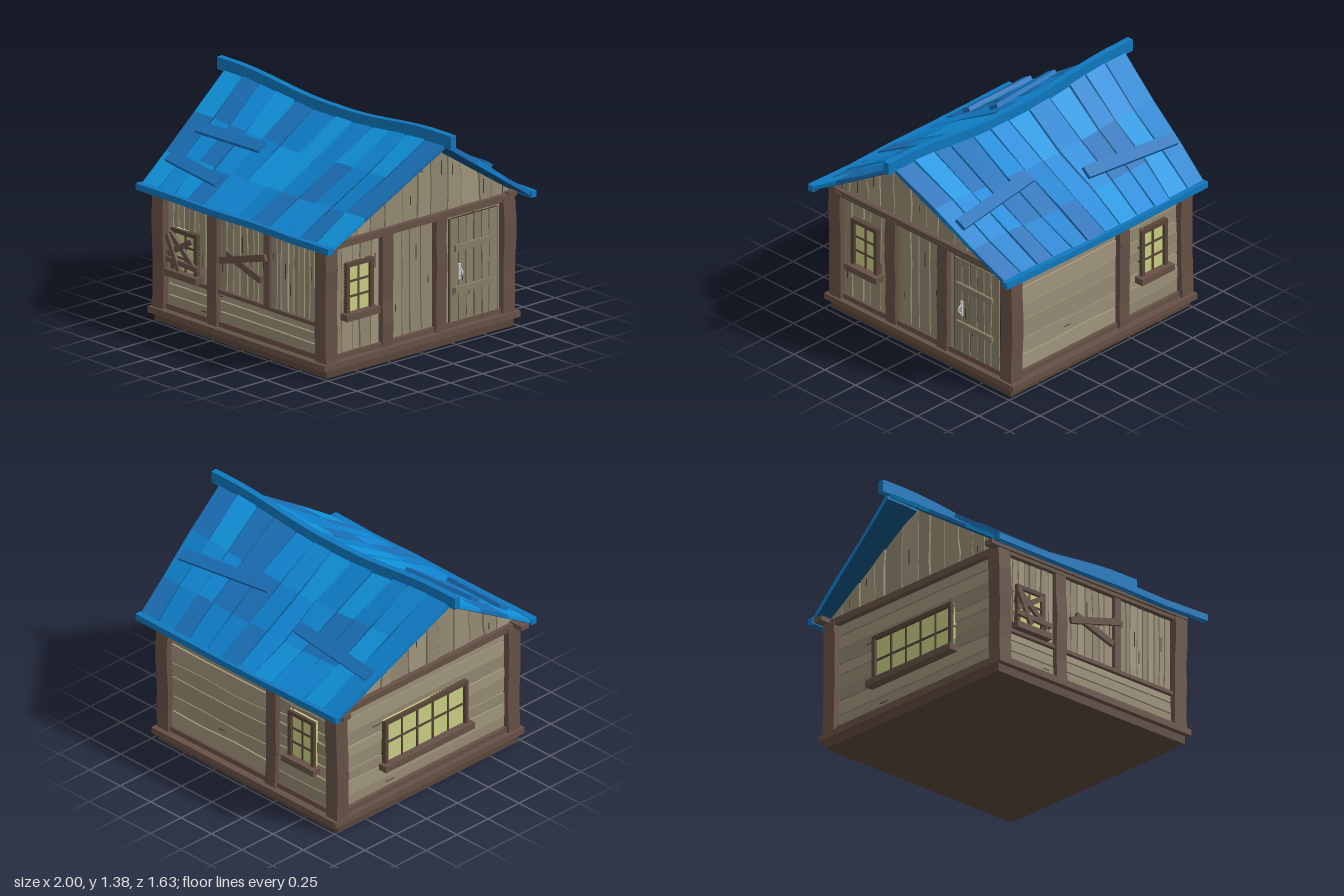
import * as THREE from 'three';

let seed = 7;
const rnd = () => { seed = (seed * 16807) % 2147483647; return seed / 2147483647; };
const jit = (a) => (rnd() * 2 - 1) * a;
const mat = (color) => new THREE.MeshStandardMaterial({ color, flatShading: true });
const BROWN = mat(0x665146), BROWN2 = mat(0x584539), DARK = mat(0x463c30), GLASS = mat(0xc8ce82), METAL = mat(0xcccccc);
const WOOD = [0x9a9078, 0x958b73, 0xa0967d, 0x918770].map(mat);
const DOOR = [0x877c66, 0x8c816b].map(mat);
const BLUE = [0x1088d6, 0x1088d6, 0x1094de, 0x0f80cc, 0x1a70b8].map(mat);
const TRIM = mat(0x0f78bf), PATCH = mat(0x1a70b8), SEAM = mat(0x0b5080);
const pick = (list) => list[Math.floor(rnd() * list.length)];
const CX = -0.02; // the walls sit slightly off the roof's centre

function add(parent, name, geo, material) {
  const m = new THREE.Mesh(geo, material);
  m.name = name;
  parent.add(m);
  return m;
}

// Box given by its limits, its cross-section wandering a little along the longest side
function beam(parent, name, [x0, x1], [y0, y1], [z0, z1], material, wobble = 0) {
  const size = [x1 - x0, y1 - y0, z1 - z0];
  const axis = size.indexOf(Math.max(...size));
  const segs = [1, 1, 1];
  if (wobble) segs[axis] = 5;
  const geo = new THREE.BoxGeometry(...size, ...segs);
  if (wobble) {
    const offs = Array.from({ length: 6 }, () => [jit(wobble), jit(wobble), jit(wobble)]);
    const p = geo.attributes.position;
    for (let i = 0; i < p.count; i++) {
      const o = offs[Math.round((p.getComponent(i, axis) / size[axis] + 0.5) * 5)];
      for (let k = 0; k < 3; k++) if (k !== axis) p.setComponent(i, k, p.getComponent(i, k) + o[k]);
    }
    geo.computeVertexNormals();
  }
  const m = add(parent, name, geo, material);
  m.position.set((x0 + x1) / 2, (y0 + y1) / 2, (z0 + z1) / 2);
  return m;
}

// Flat board between two points on a wall
function nailed(parent, name, a, b, width, z, material) {
  const m = add(parent, name, new THREE.BoxGeometry(Math.hypot(b[0] - a[0], b[1] - a[1]), width, 0.02), material);
  m.position.set((a[0] + b[0]) / 2, (a[1] + b[1]) / 2, z);
  m.rotation.z = Math.atan2(b[1] - a[1], b[0] - a[0]);
}

// Panel of planks with crooked shared seams; top(u) trims vertical planks
function planks(parent, name, [u0, u1], [v0, v1], n, { horizontal = false, z = 0.685, top = null, mats = WOOD } = {}) {
  const [a0, a1, l0, l1] = horizontal ? [v0, v1, u0, u1] : [u0, u1, v0, v1];
  const step = (a1 - a0) / n, gap = 0.004;
  const seams = Array.from({ length: n + 1 }, (_, i) => {
    const inner = i > 0 && i < n, shift = inner ? jit(step * 0.15) : 0;
    return [0, 0.3, 0.65, 1].map((f) => [a0 + step * i + shift + (inner ? jit(step * 0.08) : 0), f]);
  });
  for (let i = 0; i < n; i++) {
    const side = (s, g) => s.map(([a, f]) => {
      const c = a + g, l = l0 + ((top ? top(c) : l1) - l0) * f;
      return horizontal ? new THREE.Vector2(l, c) : new THREE.Vector2(c, l);
    });
    const shape = new THREE.Shape([...side(seams[i], gap), ...side(seams[i + 1], -gap).reverse()]);
    const depth = 0.015 + rnd() * 0.008;
    add(parent, name, new THREE.ExtrudeGeometry(shape, { depth, bevelEnabled: false }), pick(mats)).position.z = z;
    // short split in some of the planks
    if (rnd() < 0.45) {
      const a = a0 + step * (i + 0.5) + jit(step * 0.2);
      const l = l0 + ((top ? top(a) : l1) - l0) * (0.2 + rnd() * 0.6), len = 0.02 + rnd() * 0.03;
      const [u, v, w, h] = horizontal ? [l, a, len, 0.003] : [a, l, 0.003, len];
      beam(parent, 'split', [u - w, u + w], [v - h, v + h], [z, z + depth + 0.001], DARK);
    }
  }
}

function windowUnit(parent, [u0, u1], [v0, v1], cols, rows) {
  const g = new THREE.Group();
  g.name = 'window';
  parent.add(g);
  const f = 0.025, z = [0.69, 0.735];
  beam(g, 'glass', [u0, u1], [v0, v1], [0.69, 0.715], GLASS);
  for (const u of [u0, u1 - f]) beam(g, 'frameSide', [u, u + f], [v0, v1], z, BROWN2);
  beam(g, 'frameTop', [u0, u1], [v1 - f, v1], z, BROWN2);
  for (let i = 1; i < cols; i++) {
    const u = u0 + f + (u1 - u0 - 2 * f) * i / cols;
    beam(g, 'mullion', [u - 0.006, u + 0.006], [v0, v1], [0.7, 0.722], BROWN2);
  }
  for (let i = 1; i < rows; i++) {
    const v = v0 + (v1 - v0 - f) * i / rows;
    beam(g, 'glazingBar', [u0, u1], [v - 0.006, v + 0.006], [0.7, 0.722], BROWN2);
  }
  beam(g, 'windowSill', [u0 - 0.025, u1 + 0.025], [v0 - 0.04, v0], [0.69, 0.765], BROWN);
}

// Wall in its own frame: u across, y up, outside towards +z
function wall(parent, name, angle) {
  const g = new THREE.Group();
  g.name = name;
  g.position.x = CX;
  g.rotation.y = angle;
  parent.add(g);
  beam(g, 'bottomRail', [-0.68, 0.68], [0.085, 0.12], [0.68, 0.72], BROWN);
  beam(g, 'topRail', [-0.72, 0.72], [0.765, 0.805], [0.68, 0.735], BROWN);
  return g;
}
const post = (g, u, w = 0.08) => beam(g, 'post', [u - w / 2, u + w / 2], [0.09, 0.78], [0.67, 0.735], BROWN, 0.004);

function gable(g) {
  const top = (u) => 1.285 - 0.64 * Math.abs(u);
  const back = new THREE.Shape([new THREE.Vector2(-0.72, 0.79), new THREE.Vector2(0.72, 0.79), new THREE.Vector2(0, 1.275)]);
  add(g, 'gableBacking', new THREE.ExtrudeGeometry(back, { depth: 0.02, bevelEnabled: false }), DARK).position.z = 0.67;
  planks(g, 'gablePlank', [-0.72, 0.72], [0.8, 1.28], 12, { top });
}

// Roof surface: s runs along the ridge (-1..1), t from ridge to eave (0..1)
const ridgeTop = (x) => 1.325 + 0.055 * THREE.MathUtils.smoothstep(Math.abs(x), 0.1, 0.85);
const roofY = (x, t) => THREE.MathUtils.lerp(ridgeTop(x) - 0.06, 0.822, t);
const roofPoint = (s, t, lift) => {
  const x = s * (0.945 - 0.13 * t);
  return [x, roofY(x, t) + lift, 0.01 + 0.78 * t];
};

function roofPiece(parent, name, s, t, low, high, material, segs = 1) {
  const geo = new THREE.BoxGeometry(1, 1, 1, segs, 1, 1), p = geo.attributes.position;
  for (let i = 0; i < p.count; i++) {
    const k = p.getZ(i) > 0 ? 1 : 0;
    const sv = THREE.MathUtils.lerp(s[k][0], s[k][1], p.getX(i) + 0.5);
    p.setXYZ(i, ...roofPoint(sv, t[k], p.getY(i) > 0 ? high[k] : low));
  }
  geo.computeVertexNormals();
  add(parent, name, geo, material);
}

function roofSide(parent, name, angle, patches) {
  const g = new THREE.Group();
  g.name = name;
  g.rotation.y = angle;
  parent.add(g);
  roofPiece(g, 'roofDeck', [[-0.99, 0.99], [-0.99, 0.99]], [0, 1], -0.035, [-0.012, -0.012], SEAM, 16);
  const n = 12, rows = [0, 0.36, 0.7, 1];
  const seams = Array.from({ length: n + 1 }, (_, i) => {
    const inner = i > 0 && i < n, shift = inner ? jit(0.02) : 0;
    return rows.map(() => -1 + 2 * i / n + shift + (inner ? jit(0.015) : 0));
  });
  for (let i = 0; i < n; i++) {
    const lift = rows.map(() => jit(0.008));
    for (let k = 0; k < 3; k++) {
      const s = [k, k + 1].map((r) => [seams[i][r] + 0.006, seams[i + 1][r] - 0.006]);
      roofPiece(g, 'roofPlank', s, [rows[k], rows[k + 1]], -0.03, [lift[k], lift[k + 1]], pick(BLUE));
    }
  }
  beam(g, 'eaveBoard', [-0.825, 0.82], [0.788, 0.828], [0.77, 0.81], TRIM, 0.004);
  // loose boards nailed across the slope
  for (const [x0, z0, x1, z1] of patches) {
    const at = (x, z) => new THREE.Vector3(x, roofY(x, (z - 0.01) / 0.78) + 0.02, z);
    const a = at(x0, z0), b = at(x1, z1);
    const m = add(g, 'patchBoard', new THREE.BoxGeometry(a.distanceTo(b), 0.025, 0.075), PATCH);
    const ax = b.clone().sub(a).normalize();
    const az = new THREE.Vector3().crossVectors(ax, new THREE.Vector3(0, 0.84, 0.54)).normalize();
    m.quaternion.setFromRotationMatrix(new THREE.Matrix4().makeBasis(ax, az.clone().cross(ax), az));
    m.position.copy(a).add(b).multiplyScalar(0.5);
  }
}

export function createModel() {
  seed = 7;
  const house = new THREE.Group();
  house.name = 'cabin';

  // Base, core behind the planks, corner posts
  beam(house, 'base', [CX - 0.735, CX + 0.735], [0, 0.055], [-0.73, 0.73], BROWN2);
  beam(house, 'groundSill', [CX - 0.755, CX + 0.755], [0.05, 0.088], [-0.765, 0.765], BROWN);
  beam(house, 'core', [CX - 0.688, CX + 0.688], [0.08, 0.8], [-0.688, 0.688], DARK);
  for (const x of [-0.695, 0.695]) for (const z of [-0.695, 0.695])
    beam(house, 'cornerPost', [CX + x - 0.046, CX + x + 0.046], [0.085, 0.79], [z - 0.046, z + 0.046], BROWN, 0.006);
  for (const z of [-0.72, 0.72]) beam(house, 'wallPlate', [-0.825, 0.72], [0.785, 0.815], [z - 0.03, z + 0.03], BROWN);

  // Front: low rail, boarded window, two boards in a V
  const front = wall(house, 'frontWall', 0);
  post(front, -0.24);
  beam(front, 'midRail', [-0.66, 0.66], [0.29, 0.313], [0.68, 0.722], BROWN);
  beam(front, 'smallPost', [0.19, 0.24], [0.31, 0.77], [0.68, 0.722], BROWN);
  planks(front, 'plank', [-0.66, 0.66], [0.12, 0.29], 3, { horizontal: true });
  planks(front, 'plank', [-0.65, -0.28], [0.313, 0.765], 8);
  planks(front, 'plank', [-0.2, 0.19], [0.313, 0.765], 7);
  planks(front, 'plank', [0.24, 0.65], [0.313, 0.765], 9);
  windowUnit(front, [-0.59, -0.37], [0.35, 0.6], 2, 3);
  [[[-0.59, 0.57], [-0.36, 0.38]], [[-0.6, 0.44], [-0.4, 0.56]], [[-0.61, 0.41], [-0.34, 0.4]], [[-0.6, 0.56], [-0.5, 0.36]]]
    .forEach(([a, b], i) => nailed(front, 'windowBoard', a, b, 0.03, 0.738 + i * 0.005, BROWN));
  nailed(front, 'loneBoard', [-0.17, 0.5], [0.22, 0.61], 0.04, 0.733, BROWN);
  nailed(front, 'loneBoard', [-0.12, 0.55], [0.17, 0.46], 0.04, 0.725, BROWN);

  // Left side (+x): window, planks and the door
  const side = wall(house, 'doorWall', Math.PI / 2);
  post(side, -0.25);
  post(side, 0.17);
  planks(side, 'plank', [-0.65, -0.29], [0.12, 0.765], 5);
  planks(side, 'plank', [-0.21, 0.13], [0.12, 0.765], 4);
  planks(side, 'plank', [0.21, 0.65], [0.12, 0.765], 6);
  windowUnit(side, [-0.57, -0.36], [0.36, 0.66], 2, 3);
  beam(side, 'doorBacking', [0.245, 0.625], [0.12, 0.745], [0.69, 0.711], DARK);
  planks(side, 'doorPlank', [0.25, 0.62], [0.12, 0.74], 6, { z: 0.7, mats: DOOR });
  for (const v of [0.29, 0.545]) beam(side, 'doorBrace', [0.28, 0.57], [v, v + 0.038], [0.7, 0.735], DOOR[0]);
  beam(side, 'handlePlate', [0.31, 0.327], [0.37, 0.465], [0.71, 0.728], METAL);
  const handle = add(side, 'doorHandle', new THREE.TorusGeometry(0.025, 0.005, 6, 10, Math.PI), METAL);
  handle.position.set(0.318, 0.415, 0.725);
  handle.rotation.set(0, Math.PI / 2, Math.PI / 2, 'YXZ');
  handle.rotation.set(0, -Math.PI / 2, -Math.PI / 2, 'YXZ');
  gable(side);

  // Back: wide planks and a window
  const back = wall(house, 'backWall', Math.PI);
  post(back, 0.19);
  planks(back, 'plank', [-0.65, 0.15], [0.12, 0.765], 6, { horizontal: true });
  planks(back, 'plank', [0.23, 0.65], [0.12, 0.765], 8, { horizontal: true });
  windowUnit(back, [0.33, 0.545], [0.36, 0.66], 2, 3);

  // Right side (-x): long window
  const far = wall(house, 'longWindowWall', -Math.PI / 2);
  planks(far, 'plank', [-0.65, 0.65], [0.12, 0.765], 8, { horizontal: true });
  windowUnit(far, [-0.34, 0.33], [0.3, 0.58], 5, 2);
  gable(far);

  // Roof slopes and the sagging ridge beam
  roofSide(house, 'frontRoof', 0, [[-0.75, 0.39, -0.24, 0.36], [-0.77, 0.6, -0.3, 0.64]]);
  roofSide(house, 'backRoof', Math.PI, [[0.82, 0.535, 0.16, 0.47], [-0.18, 0.35, -0.83, 0.43]]);
  const ridge = new THREE.BoxGeometry(2, 0.075, 0.04, 20, 1, 1), p = ridge.attributes.position;
  for (let i = 0; i < p.count; i++) p.setY(i, p.getY(i) - 0.0375 + ridgeTop(p.getX(i)));
  ridge.computeVertexNormals();
  add(house, 'ridgeBeam', ridge, TRIM);
  return house;
}
